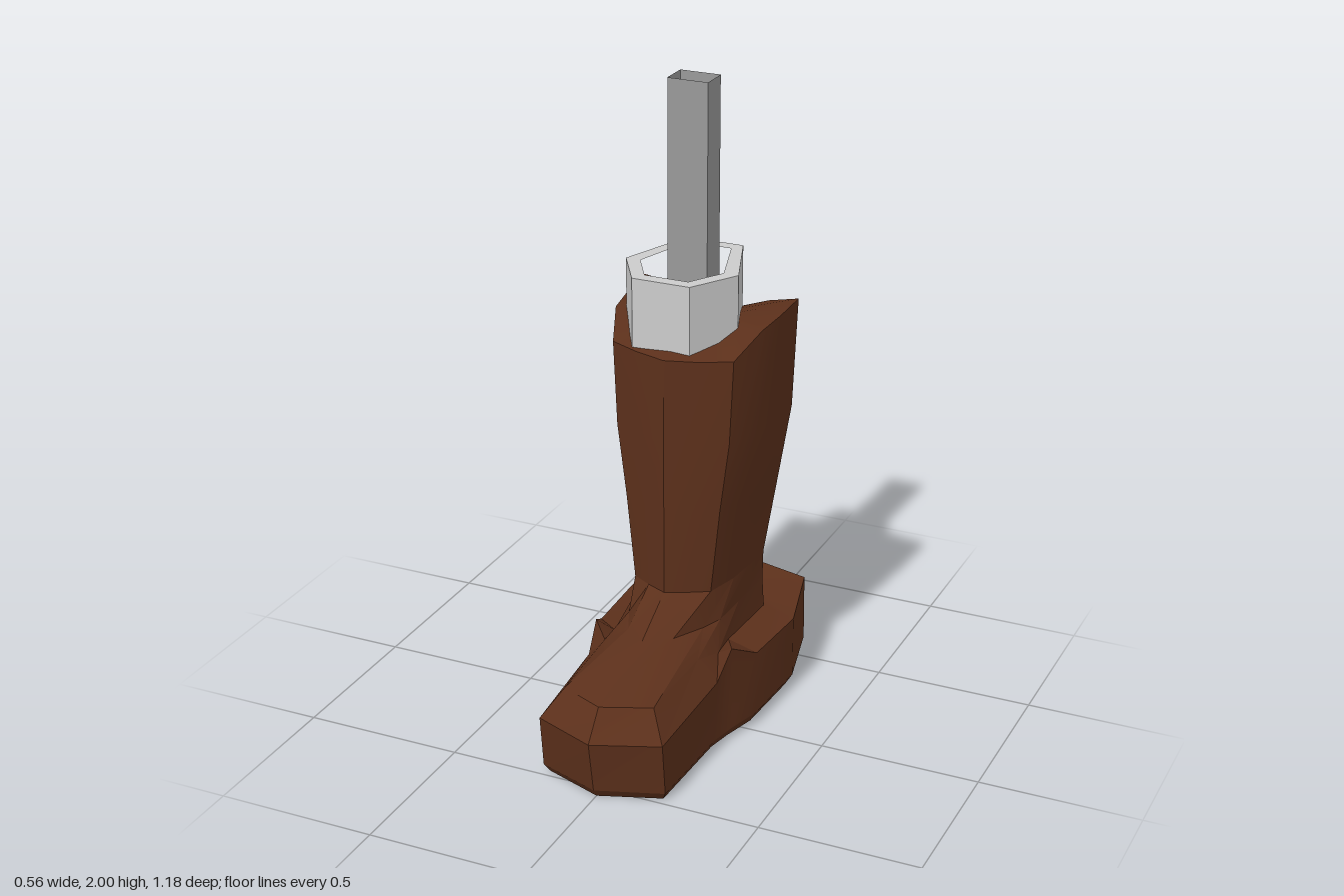
import * as THREE from 'three';
import { toCreasedNormals } from 'three/addons/utils/BufferGeometryUtils.js';

const leather = new THREE.MeshStandardMaterial({ color: 0x5c301b });
const lightGrey = new THREE.MeshStandardMaterial({ color: 0xcccccc });
const darkGrey = new THREE.MeshStandardMaterial({ color: 0x999999, side: THREE.DoubleSide });

// Half ring [x, y, z] from front centre to back centre, mirrored to a closed ring
const mirror = (half) => [...half, ...half.slice(1, -1).reverse().map(([x, y, z]) => [-x, y, z])];

// Skin between mirrored half rings, listed from inside bottom to top
function loft(halves, crease = 0.4) {
  const rings = halves.map(mirror);
  const n = rings[0].length;
  const pos = [];
  const same = (p, q) => p.every((v, k) => v === q[k]);
  const tri = (a, b, c) => {
    if (!same(a, b) && !same(b, c) && !same(a, c)) pos.push(...a, ...b, ...c);
  };
  for (let i = 0; i + 1 < rings.length; i++) {
    for (let j = 0; j < n; j++) {
      const k = (j + 1) % n;
      tri(rings[i][j], rings[i][k], rings[i + 1][k]);
      tri(rings[i][j], rings[i + 1][k], rings[i + 1][j]);
    }
  }
  const geo = new THREE.BufferGeometry();
  geo.setAttribute('position', new THREE.Float32BufferAttribute(pos, 3));
  return toCreasedNormals(geo, crease);
}

function add(group, name, geometry, material) {
  const mesh = new THREE.Mesh(geometry, material);
  mesh.name = name;
  group.add(mesh);
  return mesh;
}

// Shaft cross-section at full width
const section = [[0, 0.065], [0.1, 0.035], [0.195, 0], [0.238, -0.11],
  [0.25, -0.22], [0.255, -0.35], [0.13, -0.42], [0, -0.47]];
const shaftRing = (y, width, back) => section.map(([x, z]) =>
  [x * width, y, z < -0.3 ? z + back : z]);

// Foot outline: lower and upper edge of the side wall
const wallBottom = [[0, 0.03, 0.56], [0.2, 0.03, 0.49], [0.21, 0.03, 0.15], [0.23, 0.035, 0.07],
  [0.265, 0.04, -0.04], [0.28, 0.045, -0.3], [0.23, 0.06, -0.52], [0, 0.06, -0.59]];
const wallTop = [[0, 0.2, 0.59], [0.2, 0.2, 0.51], [0.215, 0.23, 0.15], [0.228, 0.31, 0.07],
  [0.265, 0.25, -0.04], [0.28, 0.245, -0.3], [0.23, 0.28, -0.515], [0, 0.28, -0.575]];
const instep = [[0, 0.29, 0.52], [0.145, 0.285, 0.45], [0.155, 0.3, 0.16], [0.175, 0.275, 0.05],
  [0.165, 0.27, -0.05], [0.17, 0.26, -0.32], [0.09, 0.265, -0.41], [0, 0.265, -0.44]];
const ankle = [[0, 0.36, 0.22], [0.075, 0.355, 0.16], [0.125, 0.35, 0.05], [0.15, 0.35, -0.02],
  [0.155, 0.35, -0.15], [0.16, 0.35, -0.33], [0.09, 0.35, -0.4], [0, 0.35, -0.44]];

// Sole ring: wall outline shrunk, lifted by a given amount
const soleRing = (scale, lift) => wallBottom.map(([x, y, z]) =>
  [x * scale, y * 0.7 - 0.02 + lift, z * (1 + scale) / 2]);

function hexagon(outer) {
  const half = outer ? [[0.0925, -0.38], [0.1825, -0.135], [0.0925, 0.015]]
    : [[0.07, -0.34], [0.135, -0.135], [0.07, -0.025]];
  return [...half, ...half.map(([x, z]) => [-x, z]).reverse()]
    .map(([x, z]) => new THREE.Vector2(x - 0.0325, -z));
}

function extrudeUp(shape, bottom, top) {
  return new THREE.ExtrudeGeometry(shape, { depth: top - bottom, bevelEnabled: false })
    .rotateX(-Math.PI / 2).translate(0, bottom, 0);
}

export function createModel() {
  const model = new THREE.Group();
  model.name = 'boot';

  // Foot with a hollow underside
  add(model, 'foot', loft([
    wallBottom.map(() => [0, 0.13, 0]),
    soleRing(0.68, 0.11), soleRing(0.8, 0.006), soleRing(0.93, 0),
    wallBottom, wallTop, instep, ankle, shaftRing(0.45, 0.65, 0.03),
  ], 0.35), leather);

  // Shaft with an uneven rim and a closed top
  const rimY = [1.21, 1.21, 1.215, 1.28, 1.29, 1.3, 1.25, 1.19];
  const rim = shaftRing(0, 1, 0).map(([x, , z], i) => [x, rimY[i], z]);
  const topRing = rim.map(([x, y, z]) => [x * 0.6, (y + 1.25) / 2, -0.18 + (z + 0.18) * 0.6]);
  add(model, 'shaft', loft([
    shaftRing(0.45, 0.65, 0.03), shaftRing(0.72, 0.79, 0), shaftRing(0.95, 0.94, 0),
    rim, topRing, rim.map(() => [0, 1.25, -0.18]),
  ]), leather);

  // Six-sided collar: a wall around a sunken floor
  const collar = new THREE.Group();
  collar.name = 'collar';
  model.add(collar);
  const wall = new THREE.Shape(hexagon(true));
  wall.holes.push(new THREE.Path(hexagon(false)));
  add(collar, 'collarWall', extrudeUp(wall, 1.19, 1.43), lightGrey);
  add(collar, 'collarFloor', extrudeUp(new THREE.Shape(hexagon(false)), 1.19, 1.34), lightGrey);

  // Square post, open at the top
  const post = new THREE.CylinderGeometry(Math.SQRT1_2, Math.SQRT1_2, 0.76, 4, 1, true)
    .rotateY(Math.PI / 4).scale(0.128, 1, 0.09);
  add(model, 'post', toCreasedNormals(post, 0.4), darkGrey).position.set(-0.015, 1.62, -0.18);

  return model;
}
